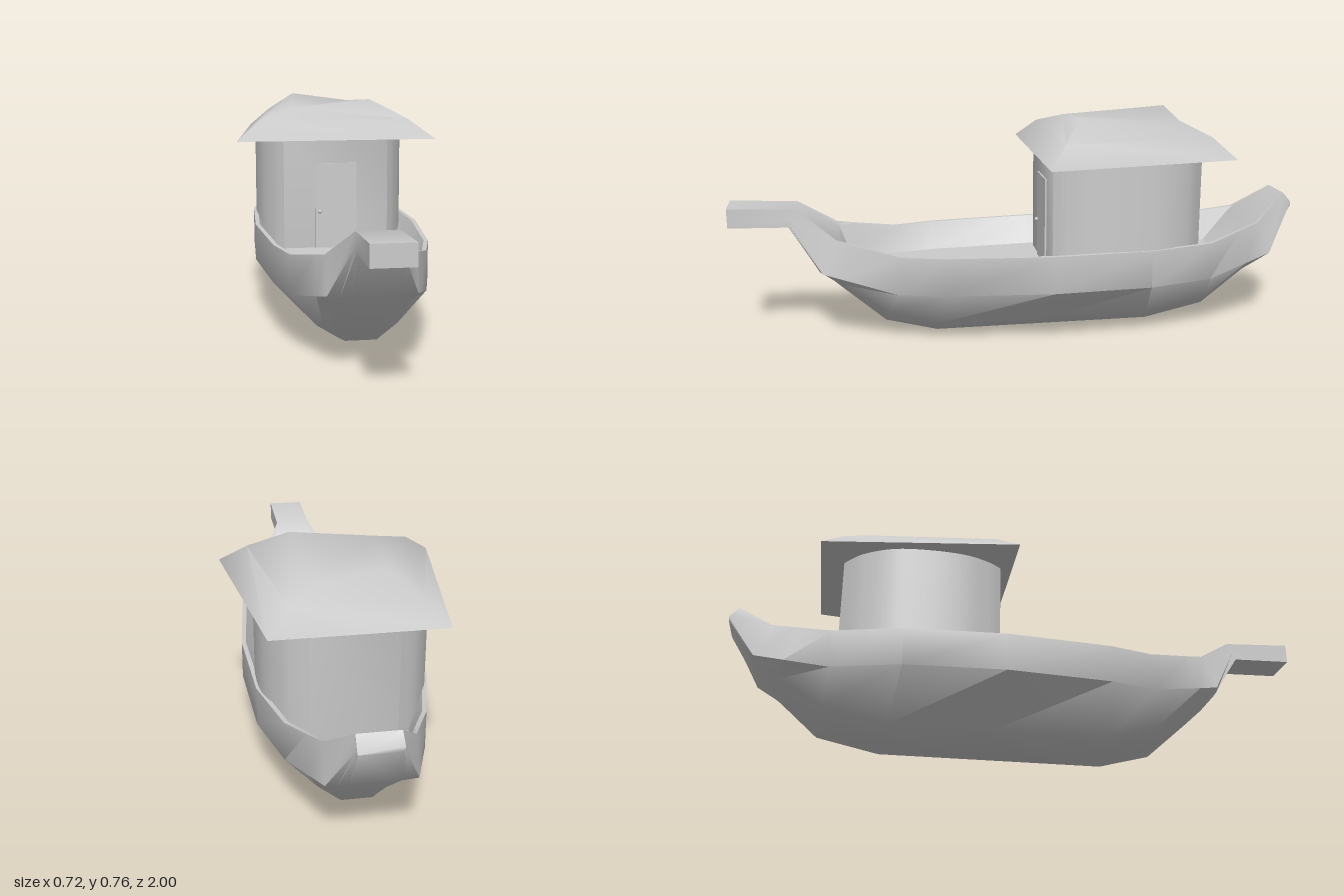
import * as THREE from 'three';
import { toCreasedNormals } from 'three/addons/utils/BufferGeometryUtils.js';

const material = new THREE.MeshStandardMaterial({ color: 0xcccccc, side: THREE.DoubleSide });

function add(parent, name, geometry) {
  const mesh = new THREE.Mesh(geometry, material);
  mesh.name = name;
  parent.add(mesh);
  return mesh;
}

// Skin closed rings of [x, y, z] points, capping both ends
function loft(rings, crease) {
  const n = rings[0].length, last = (rings.length - 1) * n, index = [];
  for (let i = 0; i < rings.length - 1; i++) {
    for (let j = 0; j < n; j++) {
      const k = (j + 1) % n;
      const a = i * n + j, b = i * n + k, c = b + n, d = a + n;
      index.push(a, d, c, a, c, b);
    }
  }
  for (let j = 1; j < n - 1; j++) index.push(0, j, j + 1, last, last + j + 1, last + j);
  const geometry = new THREE.BufferGeometry();
  geometry.setAttribute('position', new THREE.Float32BufferAttribute(rings.flat(2), 3));
  geometry.setIndex(index);
  return toCreasedNormals(geometry, crease);
}

// Lengthwise hull lines, bow to stern: [half width, y, z]
const keel = [
  [.065, .41, 1], [.065, .405, .8], [.065, .25, .7], [.061, .19, .636], [.05, .05, .48], [.04, 0, .3],
  [.04, 0, -.1], [.04, 0, -.47], [.05, .05, -.68], [.059, .17, -.81], [.065, .25, -.9], [.065, .41, -1]];
const bilge = [
  [.065, .42, 1], [.065, .415, .8], [.1, .252, .7], [.106, .207, .633], [.12, .1, .47], [.12, .05, .3],
  [.12, .05, -.1], [.12, .05, -.45], [.12, .1, -.67], [.108, .19, -.81], [.1, .252, -.9], [.067, .415, -1]];
const chine = [
  [.065, .44, 1], [.065, .43, .79], [.137, .255, .69], [.16, .238, .62], [.22, .195, .44], [.26, .195, .28],
  [.295, .195, -.08], [.28, .195, -.42], [.22, .195, -.65], [.17, .231, -.8], [.137, .255, -.9], [.068, .425, -1]];
const gunwale = [
  [.065, .477, 1], [.065, .465, .77], [.137, .37, .64], [.16, .357, .583], [.22, .325, .43], [.26, .325, .28],
  [.295, .325, -.08], [.28, .325, -.42], [.22, .325, -.65], [.17, .352, -.77], [.137, .37, -.85], [.066, .46, -.97]];
const rim = gunwale.map(([x, y, z], i) => [x - (i > 1 && i < 11 ? .015 : .005), y, z]);
const deck = [
  [.05, .477, 1], [.05, .465, .77], [.115, .355, .63], [.11, .24, .59], [.165, .232, .43], [.2, .23, .28],
  [.225, .23, -.08], [.22, .23, -.42], [.165, .232, -.66], [.125, .24, -.74], [.115, .355, -.83], [.055, .46, -.97]];

function createHull() {
  const lines = [keel, bilge, chine, gunwale, rim, deck];
  const rings = keel.map((_, i) => {
    const half = lines.map(line => line[i]);
    return [...half, ...half.map(([x, y, z]) => [-x, y, z]).reverse()];
  });
  return loft(rings, .85);
}

// Flat front and back walls running smoothly into bowed sides
function createCabin() {
  const side = [[.19, .09], [.225, .135], [.26, .215], [.273, .33], [.262, .46], [.21, .565], [.137, .63]]
    .map(([x, y]) => new THREE.Vector2(x, y));
  const shape = new THREE.Shape();
  shape.moveTo(-.19, .09);
  shape.lineTo(.19, .09);
  shape.splineThru(side.slice(1));
  shape.lineTo(-.137, .63);
  shape.splineThru(side.slice(0, -1).reverse().map(p => new THREE.Vector2(-p.x, p.y)));
  const geometry = new THREE.ExtrudeGeometry(shape, { depth: .41, bevelEnabled: false, curveSegments: 24 });
  geometry.rotateX(-Math.PI / 2).translate(0, .222, 0);
  return toCreasedNormals(geometry, 1.1);
}

// Tapered hipped roof, its top sagging between two diagonal peaks
function createRoof() {
  const ring = (y, front, zFront, back, zBack) =>
    [[-front, y, zFront], [-back, y, zBack], [back, y, zBack], [front, y, zFront]];
  return loft([
    ring(.629, .36, -.05, .27, -.71),
    ring(.698, .27, -.115, .2, -.64),
    [[-.15, .735, -.19], [-.11, .765, -.56], [.11, .735, -.56], [.14, .765, -.19]],
  ], 1.1);
}

export function createModel() {
  const boat = new THREE.Group();
  boat.name = 'houseboat';
  add(boat, 'hull', createHull());
  add(boat, 'cabin', createCabin());
  add(boat, 'roof', createRoof());

  // Door with its knob
  const door = new THREE.Group();
  door.name = 'door';
  door.position.set(0, .386, -.088);
  boat.add(door);
  add(door, 'doorPanel', new THREE.BoxGeometry(.15, .312, .008));
  add(door, 'doorKnob', new THREE.SphereGeometry(.007, 12, 8)).position.set(-.06, -.02, .009);
  return boat;
}
